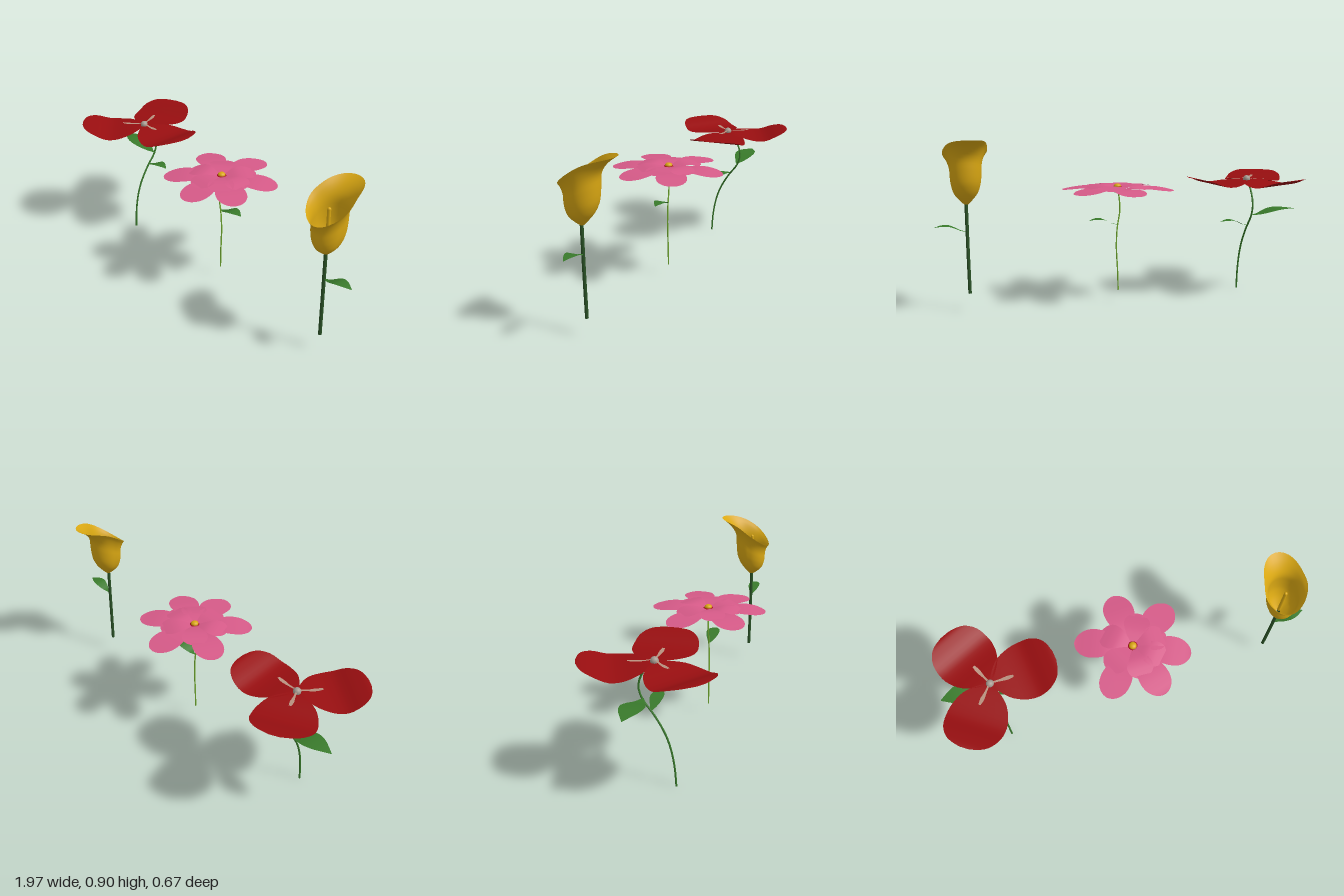
import * as THREE from 'three';

const mat = (name, color, double = true) => {
  const m = new THREE.MeshStandardMaterial({ color });
  m.name = name;
  if (double) m.side = THREE.DoubleSide;
  return m;
};
const M = {
  red: mat('red petal', 0x980e10),
  pink: mat('pink petal', 0xd65a88),
  yellow: mat('yellow', 0xd9a712),
  leaf: mat('leaf green', 0x397a2b),
  darkStem: mat('dark green stem', 0x2a5226),
  lightStem: mat('light green stem', 0x74ae32),
  stamen: mat('stamen beige', 0xb8917f),
  knob: mat('grey knob', 0xa59a90),
  heart: mat('crimson heart', 0xa3121c),
};

const V = (x, y, z) => new THREE.Vector3(x, y, z);

// Grid surface: f(s, t) gives a point for s, t in 0..1
function surface(ns, nt, f) {
  const pos = [], idx = [];
  for (let i = 0; i <= ns; i++)
    for (let j = 0; j <= nt; j++) pos.push(...f(i / ns, j / nt).toArray());
  for (let i = 0; i < ns; i++)
    for (let j = 0; j < nt; j++) {
      const a = i * (nt + 1) + j, c = a + nt + 1;
      idx.push(a, a + 1, c, a + 1, c + 1, c);
    }
  const g = new THREE.BufferGeometry();
  g.setAttribute('position', new THREE.Float32BufferAttribute(pos, 3));
  g.setIndex(idx);
  g.computeVertexNormals();
  return g;
}

// Thin petal or leaf along +x; profile rows are [distance, height, half width]
function blade(profile, sx = 1, sy = 1, sz = 1) {
  const curve = new THREE.CatmullRomCurve3(profile.map(p => V(...p)));
  return surface(24, 8, (s, t) => {
    const p = curve.getPoint(s), v = 2 * t - 1;
    return V(p.x * sx, p.y * sy, p.z * v * sz);
  });
}

function add(parent, name, geo, material, x = 0, y = 0, z = 0, angle = 0) {
  const m = new THREE.Mesh(geo, material);
  m.name = name;
  m.position.set(x, y, z);
  m.rotation.y = -THREE.MathUtils.degToRad(angle);
  parent.add(m);
  return m;
}

function stem(parent, points, r, material) {
  const curve = new THREE.CatmullRomCurve3(points.map(p => V(...p)));
  add(parent, 'stem', new THREE.TubeGeometry(curve, 28, r, 8), material);
}

const LEAF = [[0, 0, 0.002], [0.03, 0.006, 0.014], [0.06, 0.021, 0.027], [0.09, 0.033, 0.0325],
  [0.12, 0.035, 0.026], [0.145, 0.032, 0.013], [0.165, 0.027, 0.001]];

function redFlower() {
  const g = new THREE.Group();
  g.name = 'redFlower';
  const cx = -0.7;
  stem(g, [[cx, 0, 0.095], [cx, 0.1, 0.088], [cx, 0.2, 0.07], [cx, 0.28, 0.042], [cx, 0.37, -0.01],
    [cx, 0.44, -0.062], [cx, 0.5, -0.08], [cx, 0.55, -0.07], [cx, 0.6, -0.042], [cx, 0.637, 0]], 0.005, M.leaf);
  add(g, 'smallLeaf', blade(LEAF), M.leaf, cx, 0.385, -0.023);
  add(g, 'largeLeaf', blade(LEAF, 1.66, 0.9, 1.75), M.leaf, cx, 0.446, -0.058, 180);
  // Broad wavy petals
  const petal = blade([[0, 0.004, 0.01], [0.03, 0.004, 0.06], [0.08, -0.002, 0.115], [0.15, -0.012, 0.148],
    [0.21, -0.01, 0.155], [0.27, 0.012, 0.143], [0.315, 0.026, 0.11], [0.335, 0.03, 0.075], [0.348, 0.03, 0.025]]);
  for (const a of [-114, -4, 127]) add(g, 'petal', petal, M.red, cx, 0.631, 0, a);
  // Stamens around the knob
  const arm = blade([[0, 0.016, 0.004], [0.05, 0.012, 0.006], [0.09, 0.014, 0.01], [0.122, 0.018, 0.006]]);
  for (const a of [-115, 2, 131]) add(g, 'stamen', arm, M.stamen, cx, 0.634, 0, a);
  add(g, 'knob', new THREE.SphereGeometry(0.02, 16, 12), M.knob, cx, 0.642, 0);
  return g;
}

function pinkFlower() {
  const g = new THREE.Group();
  g.name = 'pinkFlower';
  const cx = 0.04, cz = 0.045;
  stem(g, [[0.035, 0.06, 0.05], [0.039, 0.18, 0.05], [0.045, 0.3, 0.05], [0.04, 0.4, 0.05],
    [0.025, 0.5, 0.05], [0.033, 0.595, 0.048]], 0.0038, M.lightStem);
  add(g, 'leaf', blade(LEAF, 0.95, 1, 1.08), M.leaf, cx, 0.42, 0.049);
  const rows = [[0, 0, 0.012], [0.06, 0.01, 0.035], [0.13, 0.018, 0.064], [0.19, 0.016, 0.078],
    [0.24, 0.01, 0.073], [0.275, 0.005, 0.052], [0.294, 0.003, 0.026], [0.3, 0.003, 0.004]];
  const outer = blade(rows), inner = blade(rows, 0.6, 0.9, 0.85);
  // Outer ring, then the shorter overlapping ring
  for (const a of [-91, -29, 27, 77, 135, 204]) add(g, 'outerPetal', outer, M.pink, cx, 0.603, cz, a);
  for (const a of [-60, 0, 42, 92, 155, 223]) add(g, 'innerPetal', inner, M.pink, cx, 0.616, cz, a);
  // Heart of the flower
  const heart = add(g, 'heart', new THREE.SphereGeometry(0.032, 16, 12), M.heart, cx, 0.61, cz);
  heart.scale.y = 0.6;
  const knob = add(g, 'knob', new THREE.SphereGeometry(0.02, 16, 12), M.yellow, cx, 0.626, cz);
  knob.scale.y = 0.7;
  return g;
}

function yellowFlower() {
  const g = new THREE.Group();
  g.name = 'yellowFlower';
  const cx = 0.83, cz = 0.1;
  stem(g, [[0.825, 0.096, 0.097], [0.828, 0.33, 0.1], [cx, 0.57, 0.102]], 0.0088, M.darkStem);
  add(g, 'leaf', blade(LEAF), M.leaf, cx, 0.42, cz);
  // Trumpet: rim climbs from the front lip to a pointed back
  const radius = new THREE.CatmullRomCurve3([[0.011, 0], [0.03, 0.07], [0.057, 0.2], [0.072, 0.38],
    [0.077, 0.55], [0.079, 0.75], [0.088, 0.9], [0.1, 1]].map(p => V(p[0], p[1], 0)));
  const trumpet = surface(28, 48, (s, t) => {
    const a = t * Math.PI * 2, c = Math.cos(a), p = radius.getPoint(s);
    const back = Math.max(0, -c);
    const flare = Math.max(0, (p.y - 0.65) / 0.35);
    const height = 0.265 - 0.07 * c - 0.012 * Math.max(0, c) ** 2;
    const r = p.x + back * 0.016 * Math.min(1, p.y * 3) + back ** 4 * 0.068 * flare ** 2;
    const side = 1 + 0.12 * flare * (1 - Math.abs(c));
    return V(Math.sin(a) * r * side, p.y * height, c * r);
  });
  add(g, 'trumpet', trumpet, M.yellow, cx, 0.56, cz);
  add(g, 'spadix', new THREE.CapsuleGeometry(0.009, 0.2, 6, 12), M.yellow, cx, 0.69, cz);
  return g;
}

export function createModel() {
  const model = new THREE.Group();
  model.name = 'threeFlowers';
  model.add(redFlower(), pinkFlower(), yellowFlower());
  return model;
}
